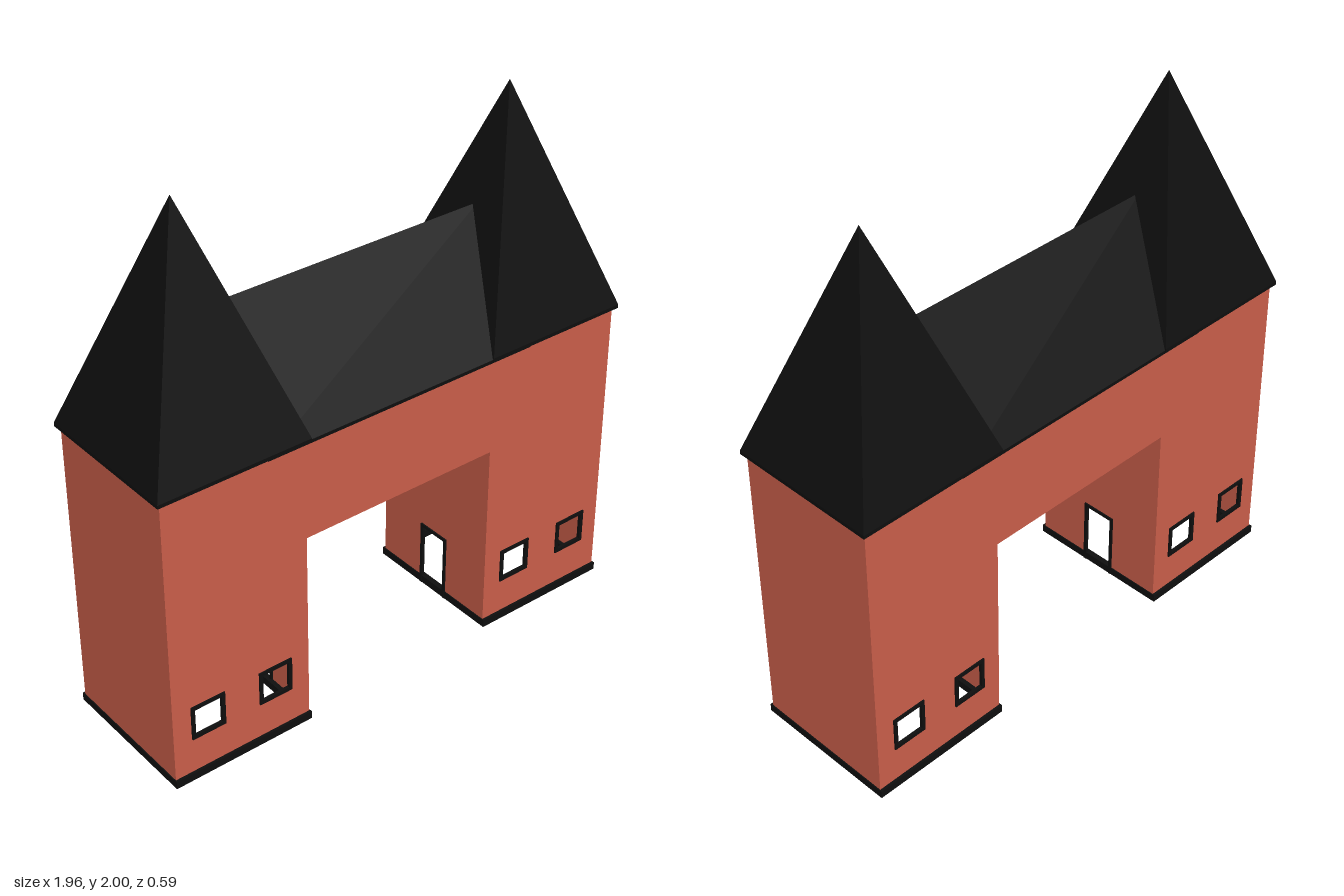
import * as THREE from 'three';

const brick = new THREE.MeshStandardMaterial({ color: 0xc85d49, side: THREE.DoubleSide });
const black = new THREE.MeshStandardMaterial({ color: 0x0e0e0e, flatShading: true });

const TX = 0.683;   // tower centre
const HW = 0.28;    // tower half width
const EAVE = 1.155; // top of the walls
const ARCH = 0.77;  // underside of the bridge
const IN = TX - HW, OUT = TX + HW;

// Closed outline from corner pairs
const outline = (pts, Type = THREE.Shape) => new Type(pts.map(([x, y]) => new THREE.Vector2(x, y)));
const rect = (x0, y0, x1, y1, Type) => outline([[x0, y0], [x1, y0], [x1, y1], [x0, y1]], Type);

function add(parent, name, geometry, material, x = 0, y = 0, z = 0) {
  const mesh = new THREE.Mesh(geometry, material);
  mesh.name = name;
  mesh.position.set(x, y, z);
  parent.add(mesh);
  return mesh;
}

// Extruded rectangular ring, centred on its depth
function ring(x0, y0, x1, y1, t, depth, openBottom = false) {
  const shape = openBottom
    ? outline([[x0, y0], [x0 + t, y0], [x0 + t, y1 - t], [x1 - t, y1 - t], [x1 - t, y0], [x1, y0], [x1, y1], [x0, y1]])
    : rect(x0, y0, x1, y1);
  if (!openBottom) shape.holes.push(rect(x0 + t, y0 + t, x1 - t, y1 - t, THREE.Path));
  return new THREE.ExtrudeGeometry(shape, { depth, bevelEnabled: false }).translate(0, 0, -depth / 2);
}

export function createModel() {
  const group = new THREE.Group();
  group.name = 'gatehouse';
  const windowX = [-0.823, -0.545, 0.545, 0.823];
  const windowY = 0.238, opening = 0.056, frame = 0.068;

  // Front and back walls: gate outline with window openings
  const face = outline([[-OUT, 0], [-IN, 0], [-IN, ARCH], [IN, ARCH], [IN, 0], [OUT, 0], [OUT, EAVE], [-OUT, EAVE]]);
  for (const x of windowX) {
    face.holes.push(rect(x - opening, windowY - opening, x + opening, windowY + opening, THREE.Path));
  }
  for (const s of [1, -1]) {
    const wall = add(group, s > 0 ? 'frontWall' : 'backWall', new THREE.ShapeGeometry(face), brick, 0, 0, s * HW);
    if (s < 0) wall.rotation.y = Math.PI;
    for (const x of windowX) {
      add(group, 'windowFrame', ring(-frame, -frame, frame, frame, 0.014, 0.012), black, x, windowY, s * HW);
    }
  }

  // Underside of the bridge
  add(group, 'bridgeUnderside', new THREE.PlaneGeometry(2 * IN, 2 * HW).rotateX(Math.PI / 2), brick, 0, ARCH, 0);

  // Inner wall with a doorway in it
  const doorHalf = 0.06, doorTop = 0.258;
  const inner = outline([[-HW, 0], [-doorHalf, 0], [-doorHalf, doorTop], [doorHalf, doorTop],
    [doorHalf, 0], [HW, 0], [HW, ARCH], [-HW, ARCH]]);

  for (const s of [1, -1]) {
    const tower = new THREE.Group();
    tower.name = s > 0 ? 'leftTower' : 'rightTower';
    group.add(tower);

    add(tower, 'outerWall', new THREE.PlaneGeometry(2 * HW, EAVE), brick, s * OUT, EAVE / 2, 0)
      .rotation.y = s * Math.PI / 2;
    add(tower, 'innerWall', new THREE.ShapeGeometry(inner), brick, s * IN, 0, 0)
      .rotation.y = -s * Math.PI / 2;
    add(tower, 'doorFrame', ring(-0.07, 0, 0.07, 0.27, 0.012, 0.012, true), black, s * IN, 0, 0)
      .rotation.y = -s * Math.PI / 2;

    // Plinth strip round the foot of the tower
    add(tower, 'plinth', ring(-0.284, -0.29, 0.284, 0.29, 0.022, 0.03).rotateX(-Math.PI / 2),
      black, s * TX, 0.015, 0);

    // Pyramid roof with a thin eave
    add(tower, 'eave', new THREE.BoxGeometry(0.59, 0.014, 0.59), black, s * TX, 1.157, 0);
    add(tower, 'spire', new THREE.ConeGeometry(0.295 * Math.SQRT2, 0.836, 4, 1).rotateY(Math.PI / 4),
      black, s * TX, 1.164 + 0.418, 0);
  }

  // Gabled roof over the bridge, ending inside the spires
  const gable = outline([[-0.292, 1.145], [0.292, 1.145], [0.292, 1.158], [0, 1.583], [-0.292, 1.158]]);
  add(group, 'bridgeRoof', new THREE.ExtrudeGeometry(gable, { depth: 1.12, bevelEnabled: false })
    .translate(0, 0, -0.56).rotateY(Math.PI / 2), black);

  return group;
}
